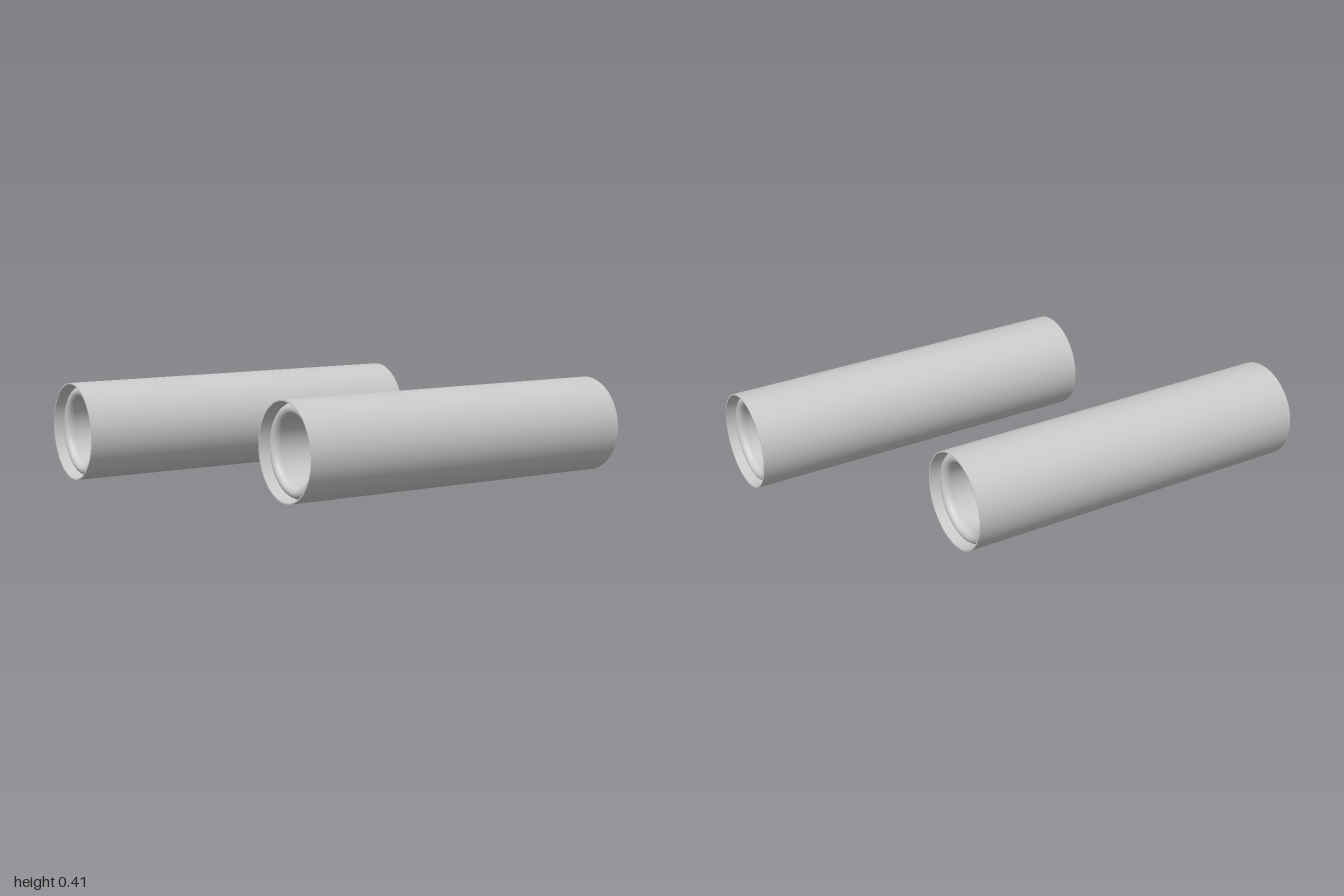
import * as THREE from 'three';

const LENGTH = 1.505, RADIUS = 0.2, BORE = 0.138;

// Half profile of one open end: [radius, depth in from the rim], outside to bore
function endProfile() {
  const points = [[RADIUS, 0], [0.195, 0], [0.191, 0.06], [0.187, 0.06]];
  // rounded inner collar, recessed behind the thin rim
  const mid = (0.187 + BORE) / 2, half = (0.187 - BORE) / 2;
  for (let i = 1; i <= 10; i++) {
    const a = (i / 10) * Math.PI;
    points.push([mid + half * Math.cos(a), 0.06 - 0.028 * Math.sin(a)]);
  }
  return points;
}

// Lathe smooth around the axis, laid along x
function lathe(points, name, material) {
  const geometry = new THREE.LatheGeometry(points.map(([r, x]) => new THREE.Vector2(r, x)), 64);
  geometry.rotateZ(-Math.PI / 2);
  const mesh = new THREE.Mesh(geometry, material);
  mesh.name = name;
  return mesh;
}

function makeTube(name, material) {
  const tube = new THREE.Group();
  tube.name = name;
  const h = LENGTH / 2;
  const end = endProfile();

  // outer shell and through bore
  tube.add(lathe([[RADIUS, -h], [RADIUS, h]], 'outerWall', material));
  tube.add(lathe([[BORE, h - 0.06], [BORE, -h + 0.06]], 'boreWall', material));

  // matching rim, recess and collar at both ends
  for (const [side, label] of [[1, 'left'], [-1, 'right']]) {
    const at = (list) => {
      const pts = list.map(([r, d]) => [r, side * (h - d)]);
      return side > 0 ? pts : pts.reverse();
    };
    tube.add(lathe(at(end.slice(0, 2)), label + 'Rim', material));
    tube.add(lathe(at(end.slice(1, 3)), label + 'RecessWall', material));
    tube.add(lathe(at(end.slice(2, 4)), label + 'Groove', material));
    tube.add(lathe(at(end.slice(3)), label + 'Collar', material));
  }
  return tube;
}

export function createModel() {
  const model = new THREE.Group();
  model.name = 'tubePair';
  const material = new THREE.MeshStandardMaterial({ color: 0xcccccc, side: THREE.DoubleSide });
  const offset = 1 - LENGTH / 2;

  // two equal tubes, staggered along x
  const front = makeTube('frontTube', material);
  front.position.set(offset, RADIUS, 0.44);
  const back = makeTube('backTube', material);
  back.position.set(-offset, RADIUS + 0.008, -0.44);
  model.add(front, back);
  return model;
}
